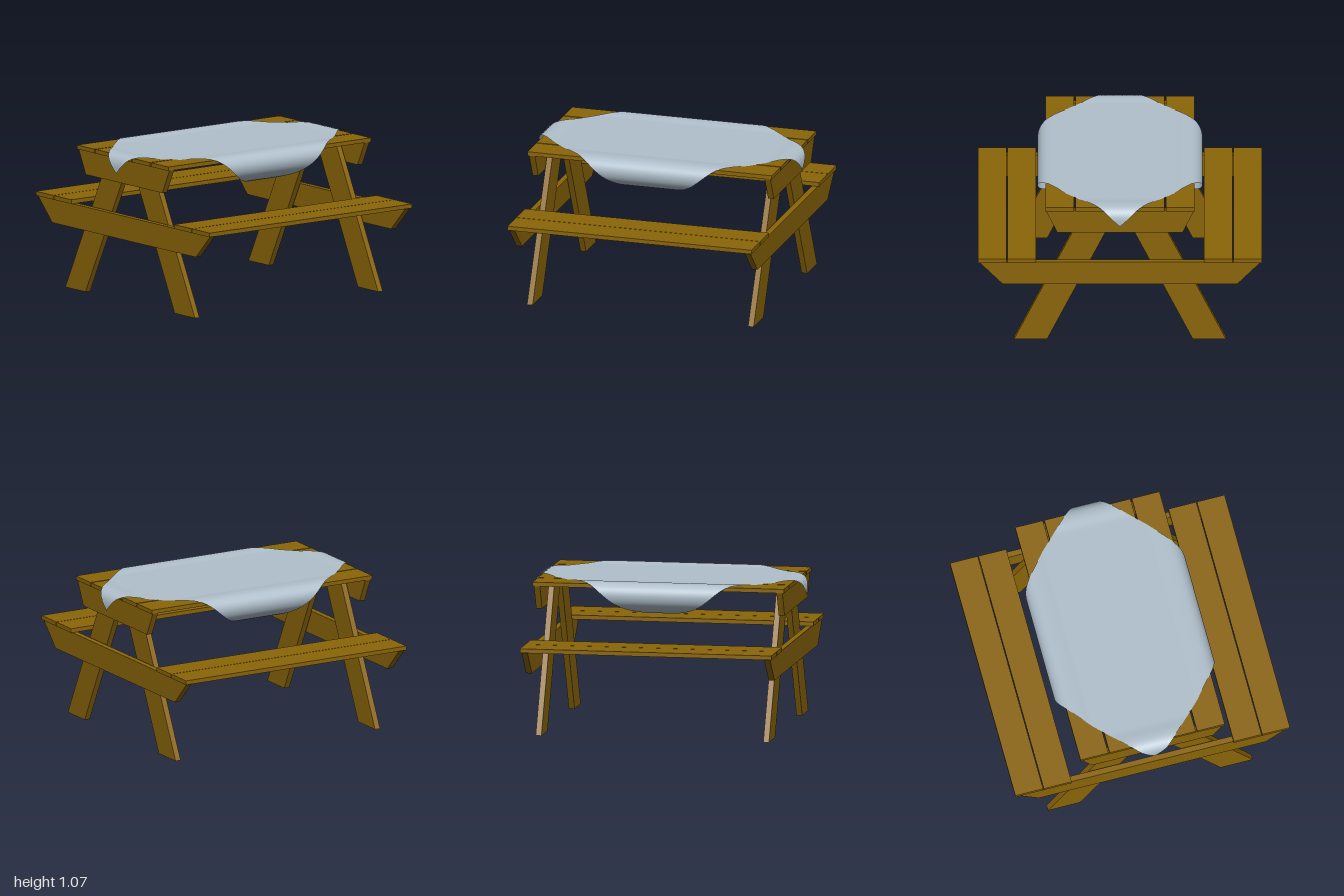
import * as THREE from 'three';

const wood = new THREE.MeshStandardMaterial({ color: 0x8b6508 });
wood.name = 'wood';
const cloth = new THREE.MeshStandardMaterial({ color: 0xb0c0cc, side: THREE.DoubleSide });
cloth.name = 'pale blue cloth';

export function createModel() {
  const model = new THREE.Group();
  model.name = 'picnicTable';

  const add = (name, geometry, material = wood) => {
    const mesh = new THREE.Mesh(geometry, material);
    mesh.name = name;
    model.add(mesh);
    return mesh;
  };

  // Lengthwise board, centred on x
  const board = (name, z, width, bottom, top) =>
    add(name, new THREE.BoxGeometry(1.8, top - bottom, width)
      .translate(0, (top + bottom) / 2, z));

  // Timber cut from a [z, y] outline, with its thickness along x
  const timber = (name, outline, x0, x1) => {
    const shape = new THREE.Shape(outline.map(([z, y]) => new THREE.Vector2(-z, y)));
    const geometry = new THREE.ExtrudeGeometry(shape, { depth: x1 - x0, bevelEnabled: false });
    add(name, geometry.rotateY(Math.PI / 2).translate(x0, 0, 0));
  };

  // Five table top boards
  for (let i = -2; i <= 2; i++) board('tableBoard', i * 0.212, 0.202, 1.028, 1.057);

  // Two boards for each bench
  for (const s of [-1, 1]) {
    for (const z of [0.691, 0.898]) board('benchBoard', s * z, 0.202, 0.625, 0.655);
  }

  // End frames: splayed legs with tapered beams on their outer faces
  for (const side of [-1, 1]) {
    const span = (inner, outer) => (side > 0 ? [inner, outer] : [-outer, -inner]);
    for (const s of [-1, 1]) {
      timber('leg', [[s * 0.512, 0], [s * 0.745, 0], [s * 0.24, 1.028], [s * 0.007, 1.028]],
        ...span(0.794, 0.835));
    }
    timber('tableBeam', [[-0.44, 0.857], [0.44, 0.857], [0.522, 1.028], [-0.522, 1.028]],
      ...span(0.847, 0.889));
    timber('benchBeam', [[-0.825, 0.455], [0.825, 0.455], [0.99, 0.625], [-0.99, 0.625]],
      ...span(0.847, 0.889));
  }

  // Drape sections: [distance out, height] from the centre to a hanging corner
  const section = (points) => new THREE.CatmullRomCurve3(
    points.map(([d, y]) => new THREE.Vector3(d, y, 0)));
  const endDrape = section([[0.78, 1.06], [0.86, 1.067], [0.91, 1.06], [0.945, 1.035],
    [0.96, 0.99], [0.96, 0.935]]);
  const sideDrape = section([[0.38, 1.06], [0.46, 1.067], [0.525, 1.06], [0.565, 1.03],
    [0.58, 0.985], [0.565, 0.93], [0.52, 0.885], [0.45, 0.855], [0.385, 0.84], [0.32, 0.85]]);
  const half = 1.06;
  const drape = (curve, t) => {
    const start = curve.points[0].x;
    const d = Math.abs(t);
    if (d <= start) return [t, 0];
    const p = curve.getPointAt(Math.min(1, (d - start) / (half - start)));
    return [Math.sign(t) * p.x, p.y - 1.06];
  };

  // Square tablecloth laid cornerwise, with its corners curling over the edges
  const geometry = new THREE.PlaneGeometry(2, 2, 72, 72);
  const position = geometry.attributes.position;
  for (let i = 0; i < position.count; i++) {
    const a = position.getX(i), b = position.getY(i);
    const [x, dropX] = drape(endDrape, (half / 2) * (a + b));
    const [z, dropZ] = drape(sideDrape, (half / 2) * (a - b));
    position.setXYZ(i, x, 1.061 + dropX + dropZ, z);
  }
  geometry.computeVertexNormals();
  add('tablecloth', geometry, cloth);

  return model;
}
